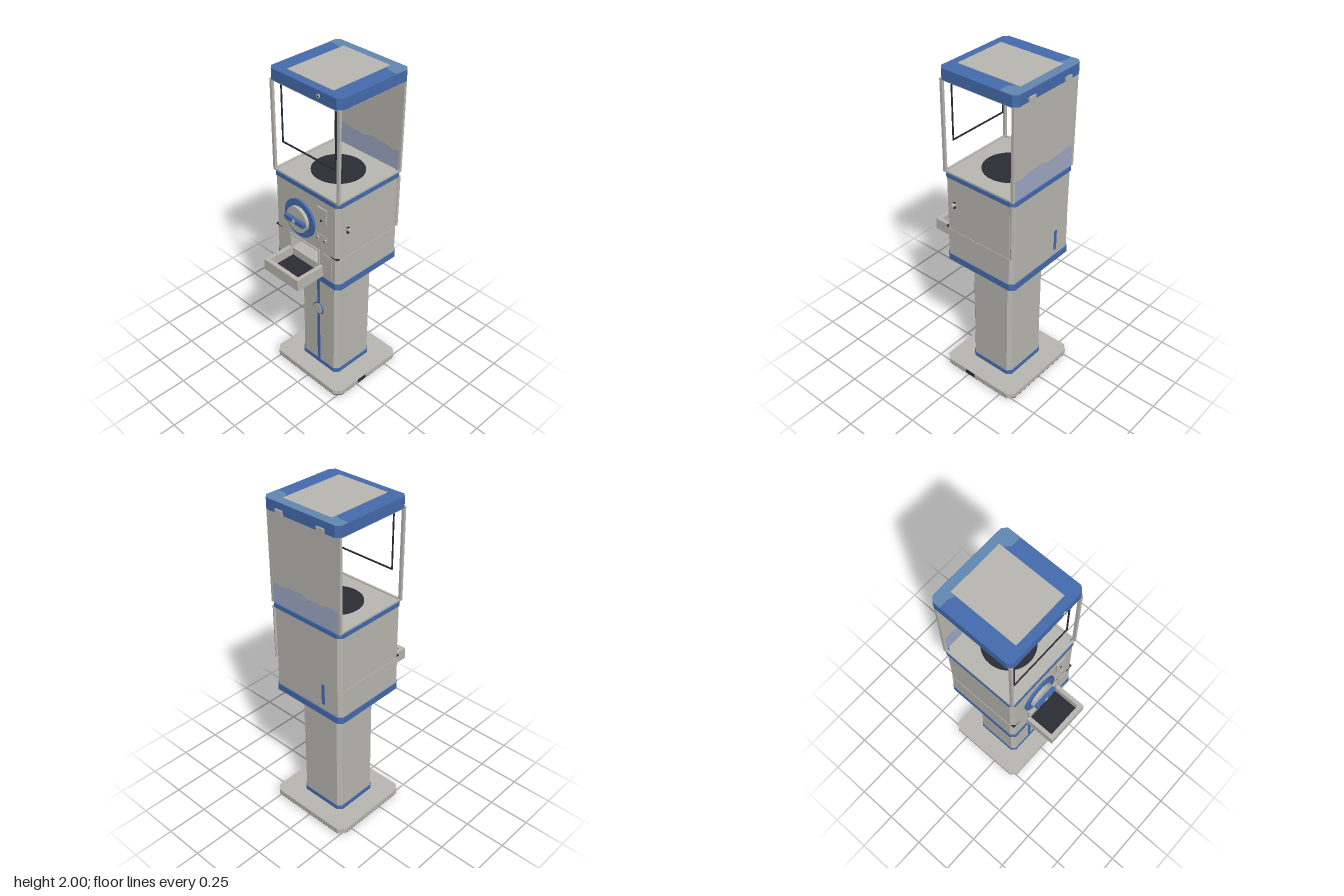
import * as THREE from 'three';

const mat = (name, color, side = THREE.FrontSide) => {
  const m = new THREE.MeshStandardMaterial({ color, side });
  m.name = name;
  return m;
};

export function createModel() {
  const root = new THREE.Group();
  root.name = 'vendingMachine';
  const grey = mat('warm grey', 0xbab8b2);
  const blue = mat('blue', 0x456cae);
  const paleBlue = mat('pale blue', 0x6288b4);
  const lavender = mat('lavender', 0xa0a9c6);
  const dark = mat('charcoal', 0x2b2c35);

  const add = (name, geo, material, x = 0, y = 0, z = 0, parent = root) => {
    const m = new THREE.Mesh(geo, material);
    m.name = name;
    m.position.set(x, y, z);
    parent.add(m);
    return m;
  };
  // box given by its limits on each axis
  const box = (name, material, x0, x1, y0, y1, z0, z1) =>
    add(name, new THREE.BoxGeometry(x1 - x0, y1 - y0, z1 - z0), material,
      (x0 + x1) / 2, (y0 + y1) / 2, (z0 + z1) / 2);
  // plan outline with cut corners; notch is an optional pocket in the front edge
  const plan = (w, z0, z1, c, notch) => {
    const p = [[-w, z1 - c], [-w + c, z1]];
    if (notch) p.push([notch[0], z1], [notch[0], notch[2]], [notch[1], notch[2]], [notch[1], z1]);
    p.push([w - c, z1], [w, z1 - c], [w, z0 + c], [w - c, z0], [-w + c, z0], [-w, z0 + c]);
    return p.map(([x, z]) => new THREE.Vector2(x, -z));
  };
  const prism = (name, material, outline, y0, y1, hole) => {
    const s = new THREE.Shape(outline);
    if (hole) s.holes.push(new THREE.Path(hole));
    const g = new THREE.ExtrudeGeometry(s, { depth: y1 - y0, bevelEnabled: false });
    g.rotateX(-Math.PI / 2);
    return add(name, g, material, 0, y0, 0);
  };
  // cylinder running along z
  const disc = (name, material, x, y, z0, z1, r, n = 32) => {
    const g = new THREE.CylinderGeometry(r, r, z1 - z0, n);
    g.rotateX(Math.PI / 2);
    return add(name, g, material, x, y, (z0 + z1) / 2);
  };

  // Base and feet
  prism('basePlate', grey, plan(0.28, -0.35, 0.178, 0.035), 0.022, 0.053);
  prism('baseUnderside', dark, plan(0.278, -0.348, 0.176, 0.035), 0.017, 0.022);
  for (const x of [-0.24, 0.24]) for (const z of [-0.31, 0.14])
    add('foot', new THREE.CylinderGeometry(0.016, 0.016, 0.01, 16), dark, x, 0.012, z);
  add('centreBolt', new THREE.CylinderGeometry(0.004, 0.004, 0.02, 8), grey, 0, 0.01, -0.085);
  box('baseSideTag', dark, 0.275, 0.282, 0.024, 0.051, -0.06, 0.005);

  // Column
  prism('column', grey, plan(0.15, -0.228, 0.063, 0.022), 0.053, 0.825);
  prism('columnCollar', blue, plan(0.155, -0.232, 0.067, 0.024), 0.053, 0.08);
  box('columnStripe', blue, -0.01, 0.01, 0.08, 0.822, 0.06, 0.066);
  disc('columnBadgeRim', blue, 0, 0.495, 0.06, 0.069, 0.041);
  disc('columnBadge', grey, 0, 0.495, 0.06, 0.072, 0.035);

  // Body, with a pocket in the front for the outlet
  prism('bodyBottomBand', blue, plan(0.254, -0.326, 0.16, 0.024), 0.825, 0.865);
  prism('bodyUnderside', grey, plan(0.25, -0.322, 0.156, 0.024), 0.82, 0.825);
  const body = plan(0.25, -0.32, 0.157, 0.022);
  prism('bodyLower', grey, body, 0.865, 0.935);
  prism('bodyOutletZone', grey, plan(0.25, -0.32, 0.157, 0.022, [-0.12, 0.105, 0.07]), 0.935, 1.035);
  prism('bodyUpper', grey, plan(0.247, -0.32, 0.157, 0.022), 1.035, 1.37);
  prism('bodyTopBand', blue, plan(0.252, -0.326, 0.16, 0.024), 1.37, 1.396);
  prism('chamberFloor', grey, plan(0.238, -0.312, 0.148, 0.02), 1.396, 1.4);
  add('floorDisc', new THREE.CylinderGeometry(0.15, 0.15, 0.006, 48), dark, 0, 1.401, -0.09);
  for (const s of [-1, 1])
    box('doorSeam', dark, s * 0.22 - 0.025, s * 0.22 + 0.025, 1.036, 1.04, 0.134, 0.159);
  box('outletLintel', grey, -0.127, 0.112, 1.03, 1.038, 0.15, 0.165);
  box('outletJamb', grey, -0.127, -0.118, 0.935, 1.03, 0.15, 0.165);
  box('outletJamb', grey, 0.103, 0.112, 0.935, 1.03, 0.15, 0.165);
  box('lowerDoorPlate', grey, 0.135, 0.2, 0.895, 1.03, 0.155, 0.161);
  box('rearSlot', blue, -0.132, -0.112, 0.9, 1.03, -0.323, -0.318);
  add('sideHinge', new THREE.CylinderGeometry(0.009, 0.009, 0.33, 12), grey, 0.243, 1.205, -0.312);

  // Outlet tray
  box('trayFloor', dark, -0.125, 0.125, 0.878, 0.886, 0.157, 0.335);
  box('trayUnderside', grey, -0.13, 0.13, 0.872, 0.878, 0.157, 0.343);
  for (const s of [-1, 1]) box('traySide', grey, s * 0.124 - 0.012, s * 0.124 + 0.012, 0.872, 0.942, 0.157, 0.348);
  box('trayFront', grey, -0.136, 0.136, 0.872, 0.942, 0.322, 0.348);

  // Dial and its handle
  const dx = -0.038, dy = 1.18;
  disc('dialRing', blue, dx, dy, 0.155, 0.17, 0.116, 48);
  disc('dialFace', grey, dx, dy, 0.165, 0.19, 0.079, 48);
  box('dialHandle', blue, dx - 0.074, dx + 0.074, dy - 0.014, dy + 0.014, 0.188, 0.212);
  disc('dialScrew', grey, dx, dy, 0.21, 0.216, 0.012, 16);

  // Coin plate, buttons and locks
  box('coinPlate', grey, 0.095, 0.165, 1.235, 1.325, 0.155, 0.165);
  disc('coinPlateHole', dark, 0.13, 1.247, 0.16, 0.167, 0.007, 12);
  box('buttonPlate', grey, 0.085, 0.175, 1.1, 1.15, 0.155, 0.16);
  for (const x of [0.1, 0.157]) {
    disc('button', grey, x, 1.125, 0.155, 0.168, 0.01, 16);
    disc('buttonCentre', dark, x, 1.125, 0.165, 0.169, 0.005, 12);
  }
  const lock = new THREE.CylinderGeometry(0.011, 0.011, 0.028, 16);
  lock.rotateZ(Math.PI / 2);
  add('sideLock', lock, grey, 0.26, 1.215, 0.085);
  box('sideLockLever', dark, 0.247, 0.256, 1.19, 1.228, 0.078, 0.092);
  disc('roofLock', grey, 0.112, 1.968, 0.155, 0.167, 0.011, 16);
  disc('roofLockSlot', dark, 0.112, 1.968, 0.165, 0.168, 0.005, 12);

  // Display chamber: posts, rails and the two-tone rear panel
  for (const x of [-0.243, 0.243]) for (const z of [-0.313, 0.15])
    box('post', grey, x - 0.008, x + 0.008, 1.396, 1.935, z - 0.008, z + 0.008);
  for (const y of [1.396, 1.927]) {
    for (const x of [-0.243, 0.243]) box('sideRail', grey, x - 0.006, x + 0.006, y, y + 0.01, -0.31, 0.15);
    box('frontRail', grey, -0.24, 0.24, y, y + 0.01, 0.144, 0.156);
  }
  const wave = [];
  for (let i = 0; i <= 24; i++) {
    const x = -0.236 + 0.472 * i / 24;
    wave.push(new THREE.Vector2(x, 1.522 + 0.006 * Math.sin(x * 24) + 0.004 * Math.sin(x * 61)));
  }
  const panel = (name, material, y) => {
    const s = new THREE.Shape([...wave, new THREE.Vector2(0.236, y), new THREE.Vector2(-0.236, y)]);
    add(name, new THREE.ExtrudeGeometry(s, { depth: 0.008, bevelEnabled: false }), material, 0, 0, -0.32);
  };
  panel('rearPanelLower', lavender, 1.398);
  panel('rearPanelUpper', grey, 1.935);

  // Thin U-shaped holder hanging behind the front opening
  for (const s of [-1, 1]) box('holderSide', dark, s * 0.198 - 0.003, s * 0.198 + 0.003, 1.572, 1.93, 0.124, 0.131);
  box('holderBottom', dark, -0.198, 0.198, 1.572, 1.579, 0.124, 0.131);

  // Hollow roof with a top plate and pale patches at the back
  const roof = plan(0.257, -0.336, 0.161, 0.024);
  prism('roofRim', blue, roof, 1.935, 1.985, plan(0.235, -0.314, 0.139, 0.02));
  prism('roofTop', blue, roof, 1.985, 1.997);
  box('roofPlate', grey, -0.165, 0.165, 1.99, 2, -0.286, 0.113);
  const patch = [[-0.257, -0.312], [-0.233, -0.336], [0.233, -0.336], [0.257, -0.312], [0.257, -0.235],
    [0.195, -0.235], [0.166, -0.262], [0.166, -0.287], [-0.166, -0.287], [-0.166, -0.255], [-0.2, -0.268], [-0.257, -0.27]];
  prism('roofPalePatch', paleBlue, patch.map(([x, z]) => new THREE.Vector2(x, -z)), 1.996, 1.999);
  for (const x of [-0.142, 0.14]) box('roofHinge', grey, x - 0.025, x + 0.025, 1.935, 1.96, -0.344, -0.33);

  return root;
}
